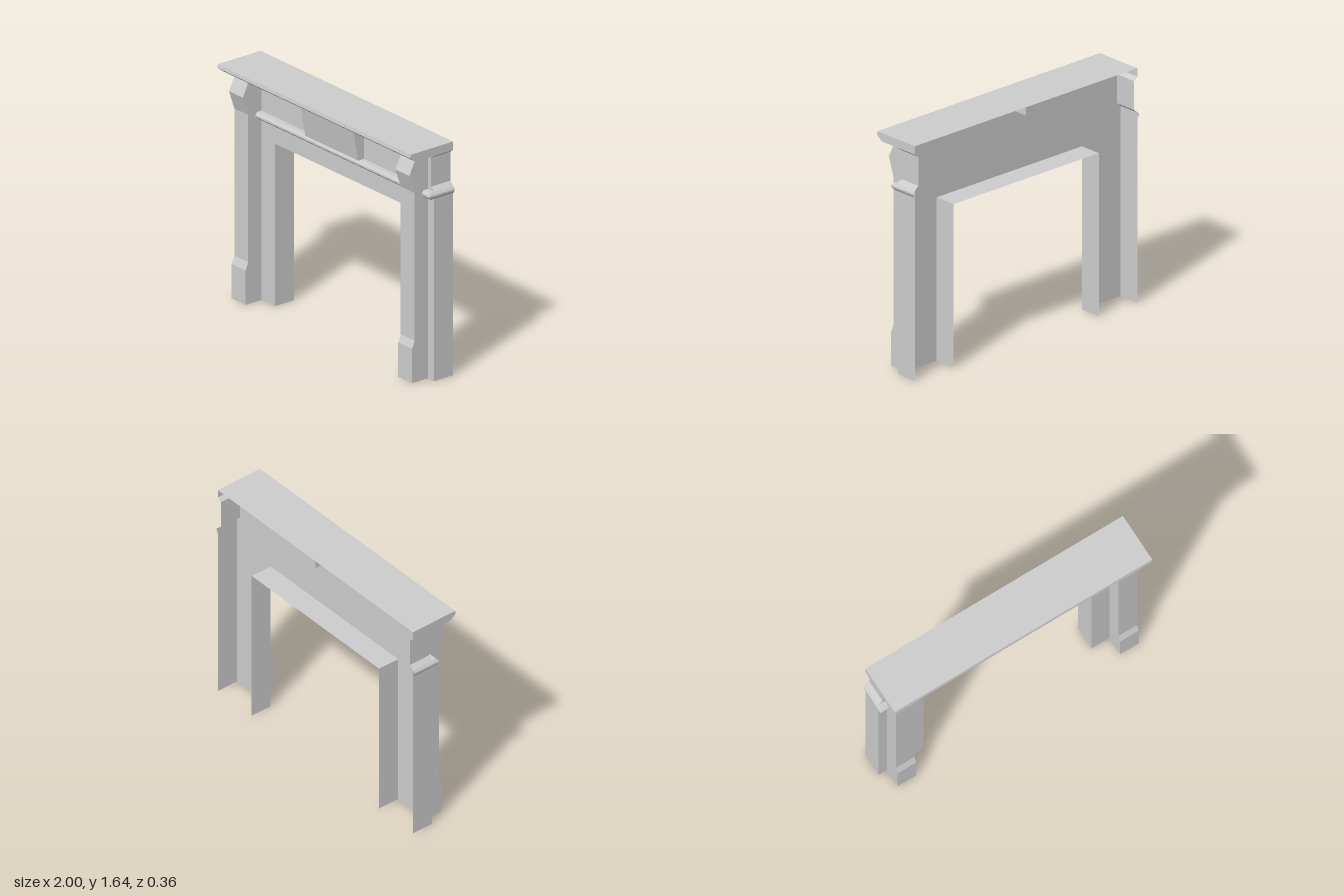
import * as THREE from 'three';

const stone = new THREE.MeshStandardMaterial({ color: 0xcccccc, side: THREE.DoubleSide });
stone.name = 'stone grey';

const BACK = -0.18, WALL = -0.02; // depth of the open back and of the front wall

// Flat-shaded sheet through rows of points; faces look along (row step) x (point step)
function sheet(rows) {
  const pos = [];
  for (let i = 0; i < rows.length - 1; i++) {
    for (let j = 0; j < rows[i].length - 1; j++) {
      const a = rows[i][j], b = rows[i + 1][j], c = rows[i + 1][j + 1], d = rows[i][j + 1];
      pos.push(...a, ...b, ...c, ...a, ...c, ...d);
    }
  }
  const geo = new THREE.BufferGeometry();
  geo.setAttribute('position', new THREE.Float32BufferAttribute(pos, 3));
  geo.computeVertexNormals();
  return geo;
}

function mesh(name, geo) {
  const m = new THREE.Mesh(geo, stone);
  m.name = name;
  return m;
}

const flat = (points) =>
  new THREE.ShapeGeometry(new THREE.Shape(points.map(([u, v]) => new THREE.Vector2(u, v))));

// Upright plate in the (z, y) plane
function sidePlate(name, points, x) {
  const m = mesh(name, flat(points).rotateY(-Math.PI / 2));
  m.position.x = x;
  return m;
}

// Hollow part: a (z, y) profile drawn from x0 to x1, with closed ends
function hollow(name, profile, x0, x1, endPoints = profile) {
  const g = new THREE.Group();
  g.name = name;
  g.add(mesh(name + 'Face', sheet([x0, x1].map((x) => profile.map(([z, y]) => [x, y, z])))));
  for (const x of [x0, x1]) g.add(sidePlate(name + 'End', endPoints, x));
  return g;
}

export function createModel() {
  const model = new THREE.Group();
  model.name = 'fireplaceMantel';

  // Front wall with the hearth opening and flared frieze ends
  const edge = [[0.985, 0], [0.985, 1.327], [0.955, 1.353], [0.955, 1.555], [0.985, 1.578]];
  const opening = [[-0.643, 0], [-0.643, 1.139], [0.643, 1.139], [0.643, 0]];
  const mirrored = edge.map(([x, y]) => [-x, y]).reverse();
  const wall = mesh('frontWall', flat([...edge, ...mirrored, ...opening]));
  wall.position.z = WALL;
  model.add(wall);

  // Returns: outer sides and the inside of the opening
  const at = (pts, z) => pts.map(([x, y]) => [x, y, z]);
  model.add(mesh('leftSide', sheet([at(edge, WALL), at(edge, BACK)])));
  const other = edge.map(([x, y]) => [-x, y]);
  model.add(mesh('rightSide', sheet([at(other, BACK), at(other, WALL)])));
  model.add(mesh('openingReveal', sheet([at(opening, WALL), at(opening, BACK)])));

  // Moulding wrapped round front and sides: x reach, z reach, height
  const moulding = [
    [0.985, WALL, 1.278], [0.988, 0.01, 1.278], [1, 0.03, 1.297],
    [1, 0.03, 1.309], [0.987, 0.015, 1.327], [0.985, WALL, 1.327],
  ];
  model.add(mesh('moulding', sheet([
    moulding.map(([x, , y]) => [-x, y, BACK]),
    moulding.map(([x, z, y]) => [-x, y, z]),
    moulding.map(([x, z, y]) => [x, y, z]),
    moulding.map(([x, , y]) => [x, y, BACK]),
  ])));

  // Pilasters with a thick foot and a pointed corbel, open underneath
  const pilaster = [
    [0.112, 0], [0.112, 0.24], [0.09, 0.292], [0.09, 1.325], [0.134, 1.457], [0.076, 1.578],
  ];
  const pilasterEnd = [[WALL, 0], ...pilaster, [WALL, 1.578]];
  model.add(hollow('leftPilaster', pilaster, 0.78, 0.922, pilasterEnd));
  model.add(hollow('rightPilaster', pilaster, -0.922, -0.78, pilasterEnd));

  // Centre frieze block leaning forward
  const block = [[WALL, 1.327], [0.03, 1.327], [0.075, 1.578], [WALL, 1.578]];
  model.add(hollow('centreBlock', block, -0.27, 0.27));

  // Shelf, open at the back, with a rib inside
  const shelf = [[WALL, 1.578], [0.135, 1.578], [0.18, 1.613], [0.175, 1.637], [BACK, 1.637]];
  model.add(hollow('shelf', shelf, -0.985, 0.985, [...shelf, [BACK, 1.578]]));
  model.add(sidePlate('shelfRib', [[BACK, 1.578], [WALL, 1.578], [WALL, 1.637], [BACK, 1.637]], 0));

  return model;
}
